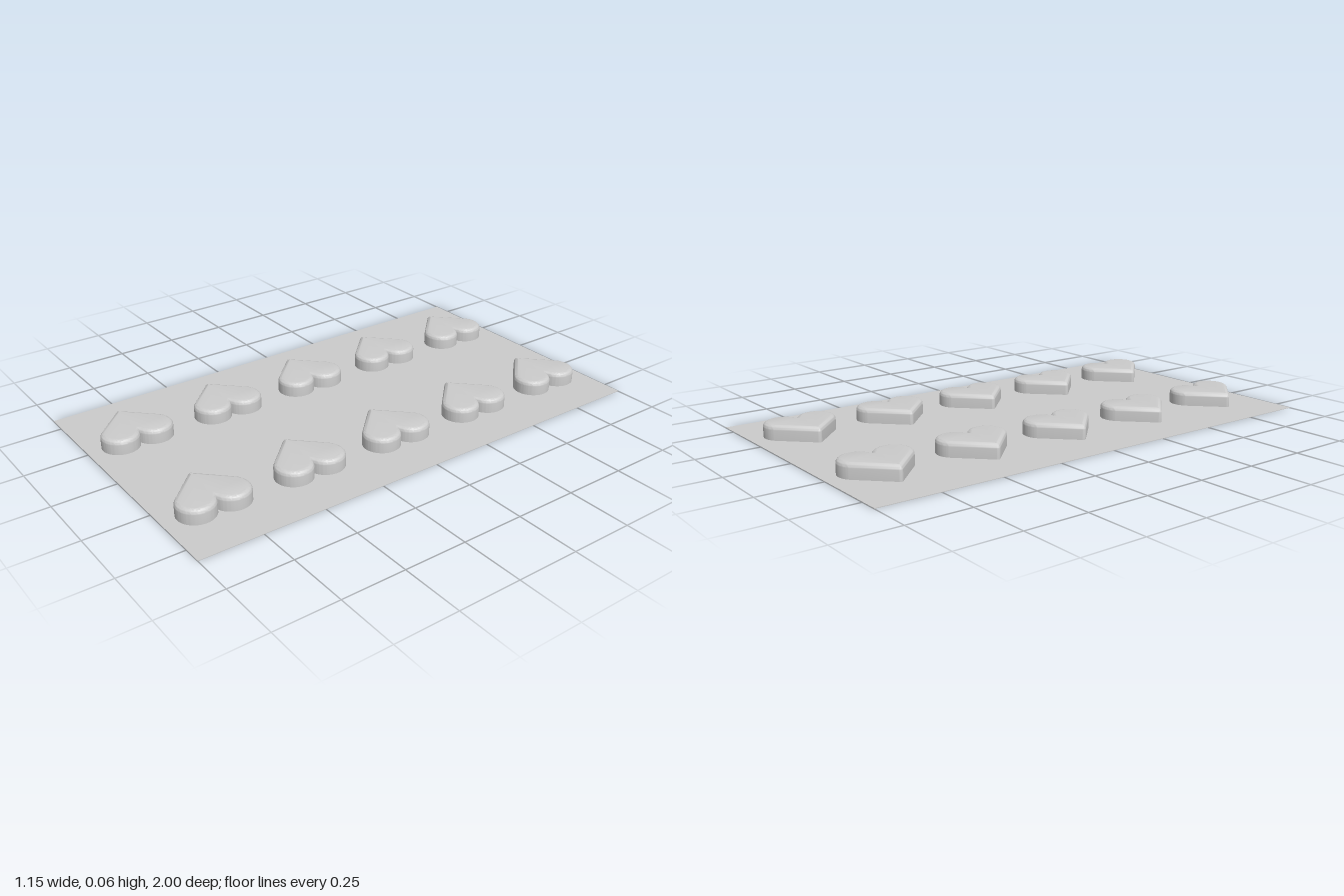
import * as THREE from 'three';
import { toCreasedNormals } from 'three/addons/utils/BufferGeometryUtils.js';

const SHEET = { width: 1.15, length: 2, thickness: 0.002 };
const HEART = { lobeRadius: 0.074, lobeX: 0.047, lobeZ: 0.07, height: 0.058, bevel: 0.018 };

// Heart outline: two overlapping lobes joined by 45 degree tangents to a tip at -x
function heartShape() {
  const { lobeRadius: r, lobeX: cx, lobeZ: cz } = HEART;
  const tipX = cx - cz - r * Math.SQRT2;
  const notch = Math.asin(cz / r);
  const round = 0.008;
  const shape = new THREE.Shape();
  shape.moveTo(tipX + round, -round);
  shape.quadraticCurveTo(tipX, 0, tipX + round, round);
  shape.absarc(cx, cz, r, Math.PI * 0.75, -notch, true);
  shape.absarc(cx, -cz, r, notch, -Math.PI * 0.75, true);
  shape.closePath();
  return shape;
}

// Upright walls, rounded top edge, flat base at y = 0
function heartGeometry() {
  const { height, bevel } = HEART;
  const geo = new THREE.ExtrudeGeometry(heartShape(), {
    depth: height - bevel,
    curveSegments: 28,
    bevelEnabled: true,
    bevelThickness: bevel,
    bevelSize: bevel,
    bevelOffset: -bevel,
    bevelSegments: 6,
  });
  geo.rotateX(-Math.PI / 2);
  // Flatten the lower bevel into the base
  const pos = geo.attributes.position;
  for (let i = 0; i < pos.count; i++) pos.setY(i, Math.max(0, pos.getY(i)));
  return toCreasedNormals(geo, Math.PI / 5);
}

export function createModel() {
  const model = new THREE.Group();
  model.name = 'heartSheet';
  const material = new THREE.MeshStandardMaterial({ color: 0xcccccc });

  // Thin backing sheet
  const sheet = new THREE.Mesh(
    new THREE.BoxGeometry(SHEET.width, SHEET.thickness, SHEET.length), material);
  sheet.name = 'sheet';
  sheet.position.y = SHEET.thickness / 2;
  model.add(sheet);

  // Two columns of five hearts, tips pointing to -x
  const geometry = heartGeometry();
  for (const side of [-1, 1]) {
    for (let row = 0; row < 5; row++) {
      const heart = new THREE.Mesh(geometry, material);
      heart.name = `${side < 0 ? 'right' : 'left'}Heart${row + 1}`;
      heart.position.set(side * SHEET.width / 4, SHEET.thickness, (row - 2) * 0.4);
      model.add(heart);
    }
  }
  return model;
}
